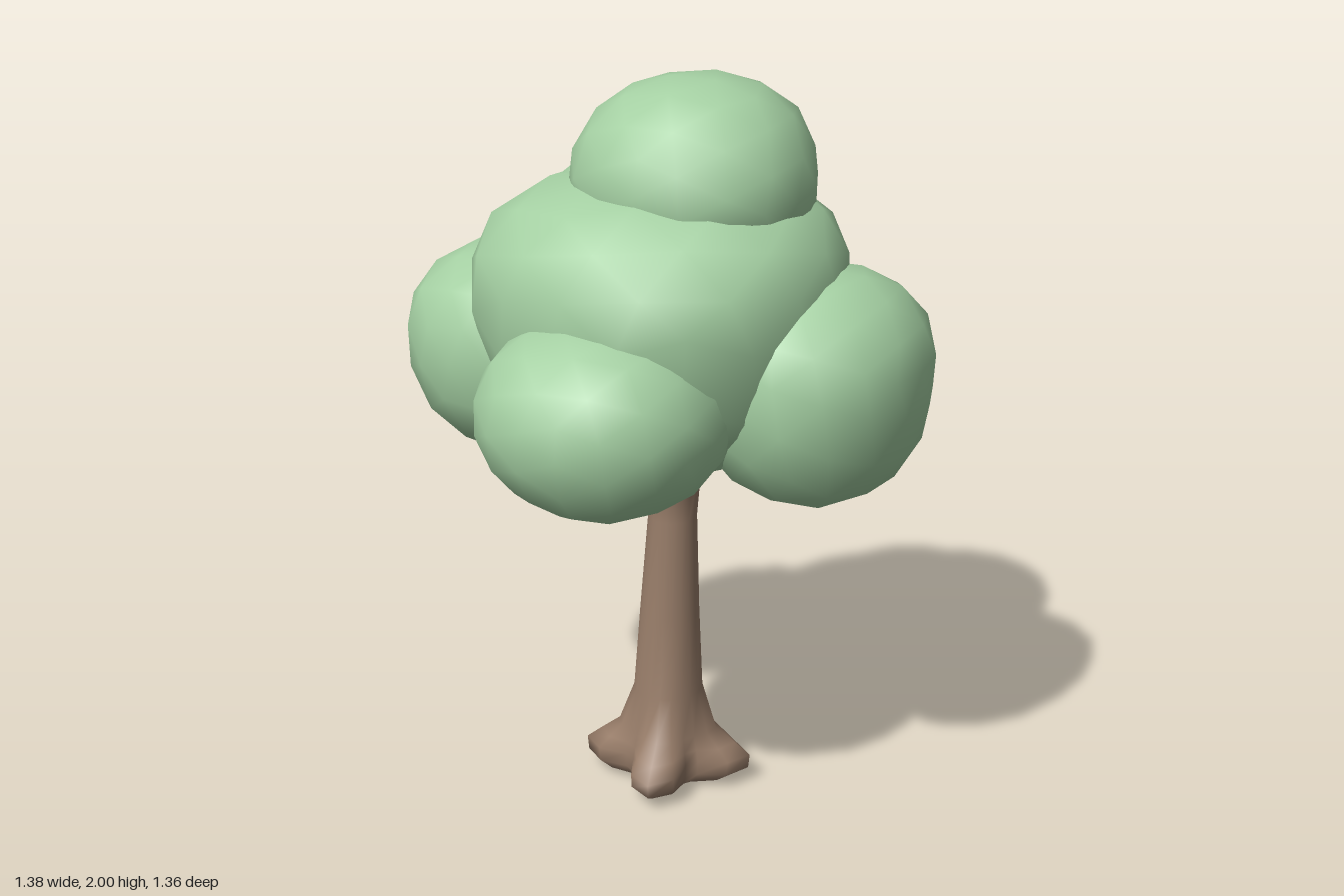
import * as THREE from 'three';
import { mergeVertices } from 'three/addons/utils/BufferGeometryUtils.js';

const leaf = new THREE.MeshStandardMaterial({ color: 0xa5d0a3 });
leaf.name = 'leafGreen';
const bark = new THREE.MeshStandardMaterial({ color: 0x997e6a });
bark.name = 'barkBrown';

// Low-poly ball, slightly boxy, fitted between two corners and widest at the waist height.
// Trim shaves the side that faces back left (+x, -z).
function leafClump(name, min, max, waist, turn, power, trim = 0) {
  let geo = new THREE.IcosahedronGeometry(1, 2);
  geo.deleteAttribute('normal');
  geo.deleteAttribute('uv');
  geo = mergeVertices(geo, 1e-3);
  geo.rotateX(turn * 0.7);
  geo.rotateY(turn);
  const pos = geo.attributes.position;
  const v = new THREE.Vector3();
  for (let i = 0; i < pos.count; i++) {
    v.fromBufferAttribute(pos, i);
    const norm = (Math.abs(v.x) ** power + Math.abs(v.y) ** power + Math.abs(v.z) ** power) ** (1 / power);
    const facing = Math.max(0, (v.x - v.z) * Math.SQRT1_2);
    v.multiplyScalar((1 - trim * facing ** 4) / norm);
    pos.setXYZ(i, v.x, v.y, v.z);
  }
  geo.computeBoundingBox();
  const size = geo.boundingBox.getSize(new THREE.Vector3());
  const mid = geo.boundingBox.getCenter(new THREE.Vector3());
  for (let i = 0; i < pos.count; i++) {
    v.fromBufferAttribute(pos, i).sub(mid).divide(size);
    pos.setXYZ(
      i,
      (min[0] + max[0]) / 2 + v.x * (max[0] - min[0]),
      waist + 2 * v.y * (v.y > 0 ? max[1] - waist : waist - min[1]),
      (min[2] + max[2]) / 2 + v.z * (max[2] - min[2]),
    );
  }
  geo.computeVertexNormals();
  const mesh = new THREE.Mesh(geo, leaf);
  mesh.name = name;
  return mesh;
}

// Trunk lofted from rings, with four roots flaring out at the foot
function makeTrunk() {
  // [height, radius, root reach, x offset]
  const rings = [
    [0, 0.075, 0.04, 0.005], [0.02, 0.105, 0.085, 0.005], [0.045, 0.115, 0.118, 0.005],
    [0.085, 0.117, 0.12, 0.005], [0.12, 0.115, 0.078, 0.005], [0.16, 0.11, 0.03, 0.005],
    [0.28, 0.096, 0, 0.006], [0.52, 0.082, 0, 0.01], [0.8, 0.067, 0, 0.018],
    [0.9, 0.077, 0, 0.016], [1.0, 0.108, 0, 0.015], [1.12, 0.12, 0, 0.015],
  ];
  const sides = 20;
  const rootAngle = THREE.MathUtils.degToRad(61);
  const points = [];
  const index = [];
  for (const [y, radius, reach, dx] of rings) {
    for (let s = 0; s < sides; s++) {
      const a = rootAngle + (s / sides) * Math.PI * 2;
      const r = radius + reach * (0.5 + 0.5 * Math.cos(4 * (a - rootAngle)));
      points.push(dx + r * Math.cos(a), y, r * Math.sin(a) - dx * 0.3);
    }
  }
  for (let k = 0; k < rings.length - 1; k++) {
    for (let s = 0; s < sides; s++) {
      const a = k * sides + s;
      const b = k * sides + ((s + 1) % sides);
      index.push(a, a + sides, b, b, a + sides, b + sides);
    }
  }
  // Underside
  const centre = points.length / 3;
  points.push(0, 0, 0);
  for (let s = 0; s < sides; s++) index.push(centre, s, (s + 1) % sides);
  const geo = new THREE.BufferGeometry();
  geo.setAttribute('position', new THREE.Float32BufferAttribute(points, 3));
  geo.setIndex(index);
  geo.computeVertexNormals();
  const mesh = new THREE.Mesh(geo, bark);
  mesh.name = 'trunk';
  return mesh;
}

export function createModel() {
  const tree = new THREE.Group();
  tree.name = 'tree';
  tree.add(makeTrunk());

  // Crown: four low clumps around a broad middle, with a cap on a ledge at the top
  const crown = new THREE.Group();
  crown.name = 'crown';
  crown.add(
    leafClump('frontClump', [-0.195, 0.96, 0.05], [0.44, 1.47, 0.68], 1.22, 0.4, 2.15),
    leafClump('rightClump', [-0.69, 0.95, -0.2], [-0.07, 1.53, 0.45], 1.27, 1.1, 2.4),
    leafClump('leftClump', [0.1, 0.92, -0.48], [0.685, 1.54, 0.2], 1.27, 2.0, 2.3, 0.07),
    leafClump('backClump', [-0.43, 0.93, -0.68], [0.23, 1.54, -0.03], 1.27, 2.9, 2.4),
    leafClump('middleClump', [-0.485, 0.97, -0.485], [0.505, 1.765, 0.49], 1.47, 0.8, 2.35, 0.12),
    leafClump('ledgeClump', [-0.34, 1.5, -0.36], [0.34, 1.8, 0.22], 1.69, 1.6, 2.3, 0.15),
    leafClump('topClump', [-0.265, 1.5, -0.38], [0.39, 2.0, 0.27], 1.73, 0.2, 2.15, 0.12),
  );
  tree.add(crown);
  return tree;
}
